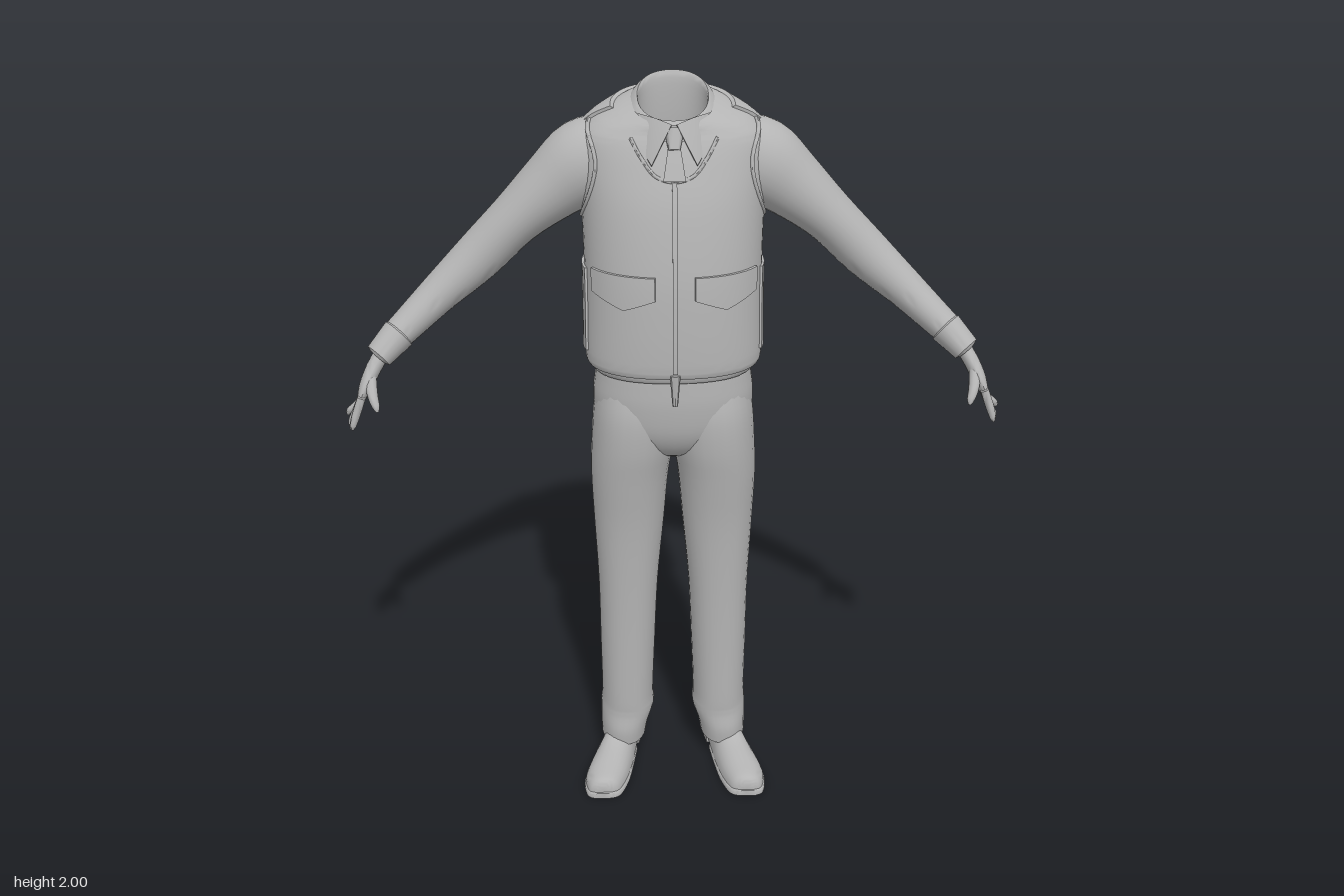
import * as THREE from 'three';
import { toCreasedNormals } from 'three/addons/utils/BufferGeometryUtils.js';

const cloth = new THREE.MeshStandardMaterial({ color: 0xb4b4b4, side: THREE.DoubleSide });
cloth.name = 'plain grey';

function mesh(name, geo, crease = 0.8) {
  const m = new THREE.Mesh(toCreasedNormals(geo, crease), cloth);
  m.name = name;
  return m;
}

// Catmull-Rom subdivision of rows of numbers
function smooth(rows, k = 4) {
  const out = [];
  for (let i = 0; i < rows.length - 1; i++) {
    const [a, b, c, d] = [rows[Math.max(i - 1, 0)], rows[i], rows[i + 1], rows[Math.min(i + 2, rows.length - 1)]];
    for (let s = 0; s < k; s++) {
      const t = s / k;
      out.push(b.map((v, n) => v + 0.5 * t * (c[n] - a[n] + t * (2 * a[n] - 5 * v + 4 * c[n] - d[n] + t * (3 * (v - c[n]) + d[n] - a[n])))));
    }
  }
  out.push(rows[rows.length - 1]);
  return out;
}

// Skin a list of rings (arrays of Vector3), closed around, optionally capped
function skin(rings, capStart = true, capEnd = true) {
  const n = rings[0].length, pos = [], idx = [];
  rings.forEach(r => r.forEach(p => pos.push(p.x, p.y, p.z)));
  for (let i = 0; i < rings.length - 1; i++) for (let j = 0; j < n; j++) {
    const a = i * n + j, b = i * n + (j + 1) % n;
    idx.push(a, a + n, b, b, a + n, b + n);
  }
  const cap = (ring, base, flip) => {
    const c = ring.reduce((s, p) => s.add(p), new THREE.Vector3()).divideScalar(n), k = pos.length / 3;
    pos.push(c.x, c.y, c.z);
    for (let j = 0; j < n; j++) {
      const a = base + j, b = base + (j + 1) % n;
      idx.push(k, flip ? b : a, flip ? a : b);
    }
  };
  if (capStart) cap(rings[0], 0, false);
  if (capEnd) cap(rings[rings.length - 1], (rings.length - 1) * n, true);
  const g = new THREE.BufferGeometry();
  g.setAttribute('position', new THREE.Float32BufferAttribute(pos, 3));
  g.setIndex(idx);
  g.computeVertexNormals();
  return g;
}

const around = (n, f) => Array.from({ length: n }, (_, j) => f(j / n * Math.PI * 2));
const pw = (v, e) => Math.sign(v) * Math.abs(v) ** (2 / e);

// Body row: [y, centre x, half width, front z, back z, tilt]
function bodyPoint([y, cx, hw, zf, zb, s], a, off = 0, e = 2.25) {
  const dz = ((zf - zb) / 2 + off) * pw(Math.sin(a), e);
  return new THREE.Vector3(cx + (hw + off) * pw(Math.cos(a), e), y - s * dz, (zf + zb) / 2 + dz);
}
const body = (rows, c0, c1, k = 4, n = 40) =>
  skin(smooth(rows, k).map(r => around(n, a => bodyPoint(r, a))), c0, c1);

// Limb row: [x, y, z, thickness radius, z-side radius]
function limb(rows, k = 4, n = 20) {
  const rs = smooth(rows, k), c = rs.map(r => new THREE.Vector3(r[0], r[1], r[2]));
  return skin(rs.map((r, i) => {
    const t = c[Math.min(i + 1, c.length - 1)].clone().sub(c[Math.max(i - 1, 0)]).normalize();
    const side = new THREE.Vector3(0, 0, 1).addScaledVector(t, -t.z).normalize();
    const up = side.clone().cross(t);
    return around(n, a => c[i].clone().addScaledVector(side, r[4] * Math.cos(a)).addScaledVector(up, r[3] * Math.sin(a)));
  }));
}

const vestRows = [
  [1.285, 0, 0.222, 0.17, -0.148, 0], [1.31, 0, 0.229, 0.175, -0.16, 0], [1.42, 0, 0.228, 0.174, -0.19, 0],
  [1.55, 0, 0.228, 0.165, -0.215, 0], [1.7, 0, 0.232, 0.138, -0.22, 0], [1.8, 0, 0.24, 0.105, -0.208, 0],
  [1.86, 0, 0.236, 0.08, -0.188, 0], [1.9, 0, 0.2, 0.068, -0.16, 0.15], [1.925, 0, 0.15, 0.066, -0.14, 0.3],
  [1.942, 0, 0.1, 0.064, -0.125, 0.4]];
const vestDense = smooth(vestRows, 6);

function vestAt(y) {
  const i = Math.max(1, vestDense.findIndex(r => r[0] >= y)), a = vestDense[i - 1], b = vestDense[i];
  const t = (y - a[0]) / (b[0] - a[0]);
  return a.map((v, n) => v + (b[n] - v) * t);
}
const frontAngle = (x, y) => Math.acos(pw(Math.min(1, Math.max(-1, x / vestAt(y)[2])), 4 / 2.25));

// Raised plate that follows the vest; f maps (u, v) to [angle, y]
function plate(name, f, th = 0.007, nu = 10, nv = 6) {
  const g = new THREE.PlaneGeometry(1, 1, nu + 2, nv + 2), p = g.attributes.position;
  const ease = (i, n) => i === 0 ? 0 : i === n + 2 ? 1 : 0.005 + 0.99 * (i - 1) / n;
  for (let k = 0; k < p.count; k++) {
    const i = k % (nu + 3), j = Math.floor(k / (nu + 3));
    const edge = i === 0 || j === 0 || i === nu + 2 || j === nv + 2;
    const [a, y] = f(ease(i, nu), ease(j, nv));
    const q = bodyPoint(vestAt(y), a, edge ? -0.003 : th);
    p.setXYZ(k, q.x, q.y + (y > 1.86 && !edge ? th : 0), q.z);
  }
  g.computeVertexNormals();
  return mesh(name, g, 0.6);
}

const seam = (name, pts, r, closed = false) =>
  mesh(name, new THREE.TubeGeometry(new THREE.CatmullRomCurve3(pts, closed), 48, r, 6, closed), 1.2);

// Shoe row: [z, centre x, half width, height], from toe to heel
function shoe(rows, base, e, k = 4) {
  return skin(smooth(rows, k).map(([z, cx, hw, h]) => around(24, a =>
    new THREE.Vector3(cx + hw * pw(Math.cos(a), e), base + h * Math.max(0, pw(Math.sin(a), e)), z))));
}

function makeSide() {
  const g = new THREE.Group();
  // Trouser leg
  g.add(mesh('trouserLeg', body([
    [0.075, 0.147, 0.066, 0.066, -0.128, 0.06], [0.12, 0.143, 0.07, 0.07, -0.13, 0.04], [0.17, 0.135, 0.078, 0.064, -0.128, 0],
    [0.22, 0.134, 0.075, 0.066, -0.126, 0], [0.4, 0.131, 0.079, 0.07, -0.12, 0], [0.6, 0.127, 0.084, 0.078, -0.114, 0],
    [0.8, 0.122, 0.097, 0.092, -0.12, 0], [0.95, 0.118, 0.106, 0.113, -0.142, 0], [1.05, 0.108, 0.112, 0.128, -0.155, 0],
    [1.15, 0.1, 0.112, 0.13, -0.155, 0], [1.24, 0.095, 0.1, 0.11, -0.13, 0]], true, true, 4, 28)));
  // Shoe, sole and heel
  g.add(mesh('shoe', shoe([
    [0.218, 0.207, 0.022, 0.022], [0.205, 0.205, 0.044, 0.04], [0.15, 0.198, 0.06, 0.052], [0.08, 0.18, 0.058, 0.068],
    [0.03, 0.166, 0.051, 0.092], [-0.03, 0.152, 0.046, 0.105], [-0.1, 0.139, 0.045, 0.1], [-0.126, 0.135, 0.034, 0.08]], 0.016, 2.2)));
  g.add(mesh('sole', shoe([
    [0.222, 0.207, 0.024, 0.018], [0.207, 0.205, 0.048, 0.02], [0.15, 0.198, 0.064, 0.02], [0.08, 0.18, 0.06, 0.02], [0, 0.158, 0.05, 0.02]], 0, 6)));
  g.add(mesh('heel', shoe([
    [-0.03, 0.152, 0.05, 0.03], [-0.1, 0.139, 0.049, 0.03], [-0.131, 0.135, 0.034, 0.03]], 0, 6)));
  // Sleeve and cuff
  g.add(mesh('sleeve', limb([
    [0.15, 1.805, -0.06, 0.1, 0.085], [0.22, 1.783, -0.06, 0.108, 0.1], [0.3, 1.725, -0.06, 0.088, 0.092], [0.4, 1.64, -0.056, 0.068, 0.08],
    [0.5, 1.543, -0.045, 0.063, 0.067], [0.6, 1.457, -0.018, 0.051, 0.058], [0.68, 1.388, 0.022, 0.043, 0.05], [0.73, 1.347, 0.054, 0.038, 0.045]], 4, 28)));
  g.add(mesh('cuff', limb([
    [0.7, 1.371, 0.036, 0.036, 0.044], [0.705, 1.367, 0.039, 0.044, 0.05], [0.755, 1.32, 0.073, 0.036, 0.043], [0.757, 1.318, 0.074, 0.026, 0.034]], 1, 24), 0.6));
  // Hand
  g.add(mesh('palm', limb([
    [0.742, 1.333, 0.065, 0.02, 0.026], [0.768, 1.292, 0.084, 0.02, 0.031], [0.788, 1.252, 0.1, 0.018, 0.041], [0.803, 1.217, 0.108, 0.011, 0.04]])));
  for (let i = 0; i < 4; i++) {
    const z = 0.075 + 0.023 * i, tz = 0.07 + 0.028 * i, tx = 0.845 - 0.008 * i, ty = [1.155, 1.137, 1.138, 1.15][i];
    g.add(mesh('finger', limb([
      [0.795, 1.235, z, 0.011, 0.012], [0.818 - 0.002 * i, 1.19, (z + tz) / 2, 0.011, 0.011], [tx, ty + 0.012, tz, 0.008, 0.008], [tx + 0.003, ty, tz, 0.003, 0.003]], 3, 10)));
  }
  g.add(mesh('thumb', limb([
    [0.775, 1.285, 0.1, 0.015, 0.016], [0.768, 1.245, 0.14, 0.014, 0.014], [0.758, 1.217, 0.16, 0.01, 0.01], [0.754, 1.204, 0.167, 0.003, 0.004]], 3, 12)));
  // Armhole edge
  g.add(seam('armholeEdge', around(28, b => {
    const y = 1.775 + 0.122 * Math.sin(b), z = -0.06 + 0.115 * Math.cos(b), r = vestAt(y);
    const k = Math.min(1, Math.abs((z - (r[3] + r[4]) / 2) / ((r[3] - r[4]) / 2)));
    return new THREE.Vector3(r[2] * (1 - k ** 2.25) ** (1 / 2.25), y, z);
  }), 0.006, true));
  // Pocket flap with pointed lower edge
  g.add(plate('pocketFlap', (u, v) => {
    const x = 0.048 + 0.155 * u, low = 1.495 - 0.03 * (1 - Math.abs(2 * u - 1));
    const y = 1.553 + (low - 1.553) * v;
    return [frontAngle(x, y), y];
  }));
  // Side closure panel and shoulder panel
  g.add(plate('sidePanel', (u, v) => [-0.85 + 1.15 * u, 1.325 + 0.215 * v], 0.006));
  g.add(plate('shoulderPanel', (u, v) => [-1.1 + 1.15 * u, 1.868 + 0.058 * v], 0.006));
  // Collar leaf
  const leaf = new THREE.ExtrudeGeometry(new THREE.Shape([[0.006, 0], [0.055, -0.095], [0.104, 0.0], [0.09, 0.045], [0.045, 0.02]]
    .map(p => new THREE.Vector2(...p))), { depth: 0.008, bevelEnabled: false });
  const lp = leaf.attributes.position;
  for (let i = 0; i < lp.count; i++) lp.setZ(i, lp.getZ(i) - 6 * lp.getX(i) ** 2);
  leaf.rotateX(-0.53).translate(0, 1.905, 0.073);
  leaf.computeVertexNormals();
  g.add(mesh('collarLeaf', leaf));
  return g;
}

export function createModel() {
  const root = new THREE.Group();
  root.name = 'uniform';
  // Mirrored halves
  const left = makeSide(), right = makeSide();
  left.name = 'leftSide';
  right.name = 'rightSide';
  right.scale.x = -1;
  root.add(left, right);

  // Trousers top and waistband
  root.add(mesh('trouserSeat', body([
    [1.0, 0, 0.03, 0.03, -0.06, 0], [1.04, 0, 0.13, 0.095, -0.125, 0], [1.1, 0, 0.2, 0.13, -0.153, 0],
    [1.18, 0, 0.212, 0.142, -0.16, 0], [1.24, 0, 0.206, 0.142, -0.153, 0], [1.28, 0, 0.2, 0.14, -0.145, 0]], true, true)));
  root.add(mesh('waistband', body([
    [1.258, 0, 0.202, 0.148, -0.148, -0.04], [1.264, 0, 0.21, 0.156, -0.158, -0.04], [1.288, 0, 0.214, 0.158, -0.16, -0.04], [1.3, 0, 0.205, 0.15, -0.15, -0.04]], true, true, 2)));

  // Vest body
  root.add(mesh('vest', body(vestRows, true, false, 6, 56)));
  root.add(plate('zipStrip', (u, v) => {
    const y = 1.785 - 0.485 * v;
    return [frontAngle(-0.006 + 0.012 * u, y), y];
  }, 0.004, 2, 12));
  const pull = mesh('zipPull', new THREE.CylinderGeometry(0.014, 0.007, 0.085, 8));
  pull.position.set(0, 1.255, 0.17);
  root.add(pull);

  // Neckline edge of the vest
  const neck = [[-0.105, 1.88], [-0.08, 1.83], [-0.045, 1.79], [0, 1.778], [0.045, 1.79], [0.08, 1.83], [0.105, 1.88]];
  root.add(seam('necklineEdge', neck.map(([x, y]) => bodyPoint(vestAt(y), frontAngle(x, y))), 0.005));

  // Folded collar with an open, hollow neck
  root.add(mesh('collar', body([
    [1.918, 0, 0.118, 0.082, -0.14, 0.45], [1.938, 0, 0.104, 0.068, -0.128, 0.52], [1.952, 0, 0.092, 0.054, -0.114, 0.55],
    [1.954, 0, 0.086, 0.048, -0.106, 0.57], [1.93, 0, 0.086, 0.05, -0.1, 0.5], [1.86, 0, 0.09, 0.055, -0.1, 0.2], [1.76, 0, 0.1, 0.06, -0.11, 0]], false, true, 3), 0.7));

  // Tie and knot
  root.add(plate('tie', (u, v) => {
    const y = 1.865 - 0.085 * v;
    return [frontAngle((u - 0.5) * (0.026 + 0.028 * v), y), y];
  }, 0.009, 4, 6));
  const knot = mesh('tieKnot', new THREE.CylinderGeometry(0.026, 0.015, 0.052, 10));
  knot.position.set(0, 1.872, 0.078);
  knot.rotation.x = -0.5;
  knot.scale.z = 0.7;
  root.add(knot);
  return root;
}
